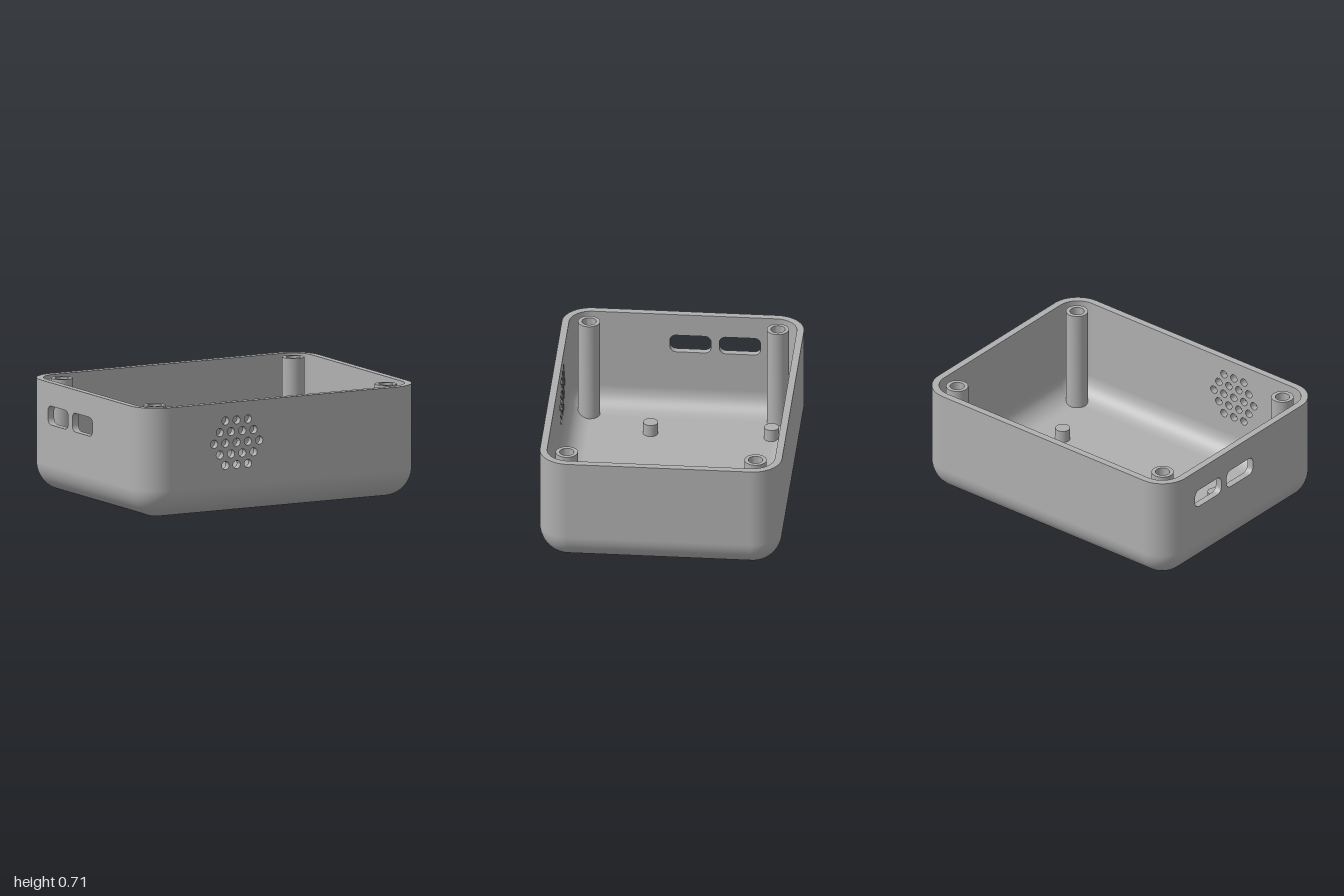
import * as THREE from 'three';
import { toCreasedNormals } from 'three/addons/utils/BufferGeometryUtils.js';

const CX = 0.815, CZ = 0.578;    // centres of the rounded corners
const R_OUT = 0.185, R_IN = 0.14; // outer and inner fillet radii
const BASE = 0.185, TOP = 0.715;  // start of the straight walls, rim height
const SEG = 14;

// Rounded tub skin: floor, bottom fillet and the upright corners (flat walls are left open)
function tubSkin(r, inward) {
  const pos = [], nor = [], idx = [];
  const cols = 4 * (SEG + 1), rows = SEG + 3, s = inward ? -1 : 1;
  for (let i = 0; i < rows; i++) {
    const phi = Math.PI / 2 * (1 - Math.min(Math.max(i - 1, 0), SEG) / SEG);
    const c = Math.cos(phi), d = Math.sin(phi);
    for (let k = 0; k < 4; k++) {
      const sx = k === 0 || k === 3 ? 1 : -1, sz = k < 2 ? 1 : -1;
      for (let j = 0; j <= SEG; j++) {
        const t = (k + j / SEG) * Math.PI / 2;
        const nx = c * Math.cos(t), nz = c * Math.sin(t);
        const y = i === rows - 1 ? TOP : BASE - r * d;
        if (i === 0) pos.push(0, y, 0);
        else pos.push(sx * CX + r * nx, y, sz * CZ + r * nz);
        nor.push(s * nx, -s * d, s * nz);
      }
    }
  }
  for (let i = 0; i < rows - 1; i++) {
    for (let j = 0; j < cols; j++) {
      if (i === rows - 2 && j % (SEG + 1) === SEG) continue;
      const n = (j + 1) % cols;
      const a = i * cols + j, b = i * cols + n, c = a + cols, d = b + cols;
      if (inward) idx.push(a, b, c, b, d, c);
      else idx.push(a, c, b, b, c, d);
    }
  }
  const g = new THREE.BufferGeometry();
  g.setAttribute('position', new THREE.Float32BufferAttribute(pos, 3));
  g.setAttribute('normal', new THREE.Float32BufferAttribute(nor, 3));
  g.setIndex(idx);
  return g;
}

function roundHole(x, y, r) {
  return new THREE.Path().absarc(x, y, r, 0, Math.PI * 2, true);
}

// Slot with rounded corners
function slotHole(x, y, w, h, r) {
  const p = new THREE.Path(), a = w / 2 - r, b = h / 2 - r, q = Math.PI / 2;
  p.absarc(x + a, y + b, r, 0, q);
  p.absarc(x - a, y + b, r, q, 2 * q);
  p.absarc(x - a, y - b, r, 2 * q, 3 * q);
  p.absarc(x + a, y - b, r, 3 * q, 4 * q);
  p.closePath();
  return p;
}

export function createModel() {
  const group = new THREE.Group();
  const grey = new THREE.MeshStandardMaterial({ color: 0xb0b0b0 });
  grey.name = 'grey plastic';
  const add = (name, geometry) => {
    const m = new THREE.Mesh(geometry, grey);
    m.name = name;
    group.add(m);
    return m;
  };

  add('outerTub', tubSkin(R_OUT, false));
  add('innerTub', tubSkin(R_IN, true));

  // Flat wall panels with their openings
  const wall = (name, half, angle, dist, holes = []) => {
    const s = new THREE.Shape();
    s.moveTo(-half, BASE).lineTo(half, BASE).lineTo(half, TOP).lineTo(-half, TOP).closePath();
    s.holes.push(...holes);
    const g = new THREE.ExtrudeGeometry(s, { depth: R_OUT - R_IN, bevelEnabled: false, curveSegments: 12 });
    const m = add(name, toCreasedNormals(g, 0.7));
    m.rotation.y = angle;
    m.position.set(Math.sin(angle) * dist, 0, Math.cos(angle) * dist);
  };

  // Hexagonal grille of small round holes
  const grille = [];
  for (let row = -2; row <= 2; row++) {
    const n = 5 - Math.abs(row);
    for (let i = 0; i < n; i++) {
      grille.push(roundHole(-0.336 + (i - (n - 1) / 2) * 0.081, 0.457 + row * 0.071, 0.026));
    }
  }
  const slots = [-0.035, -0.348].map((z) => slotHole(z, 0.507, 0.26, 0.12, 0.04));
  wall('frontWall', CX, 0, CZ + R_IN, grille);
  wall('backWall', CX, Math.PI, CZ + R_IN);
  wall('leftWall', CZ, Math.PI / 2, CX + R_IN);
  wall('rightWall', CZ, -Math.PI / 2, CX + R_IN, slots);

  // Rim at the four corners
  for (let k = 0; k < 4; k++) {
    const g = new THREE.RingGeometry(R_IN, R_OUT, SEG, 1, k * Math.PI / 2, Math.PI / 2);
    g.rotateX(-Math.PI / 2);
    const rim = add('cornerRim', g);
    rim.position.set(k === 0 || k === 3 ? CX : -CX, TOP, k < 2 ? -CZ : CZ);
  }

  // Hollow screw posts and short locating pegs
  const profile = [[0.07, 0.035], [0.07, 0.71], [0.045, 0.71], [0.045, 0.35], [0, 0.35]]
    .map(([x, y]) => new THREE.Vector2(x, y));
  const postGeo = toCreasedNormals(new THREE.LatheGeometry(profile, 32), 0.7);
  const pegGeo = new THREE.CylinderGeometry(0.047, 0.047, 0.09, 28);
  for (const side of [-1, 1]) {
    for (const z of [-0.597, 0.593]) add('screwPost', postGeo).position.set(side * 0.833, 0, z);
    for (const z of [-0.575, 0.187]) add('locatingPeg', pegGeo).position.set(side * 0.618, 0.08, z);
  }
  return group;
}
